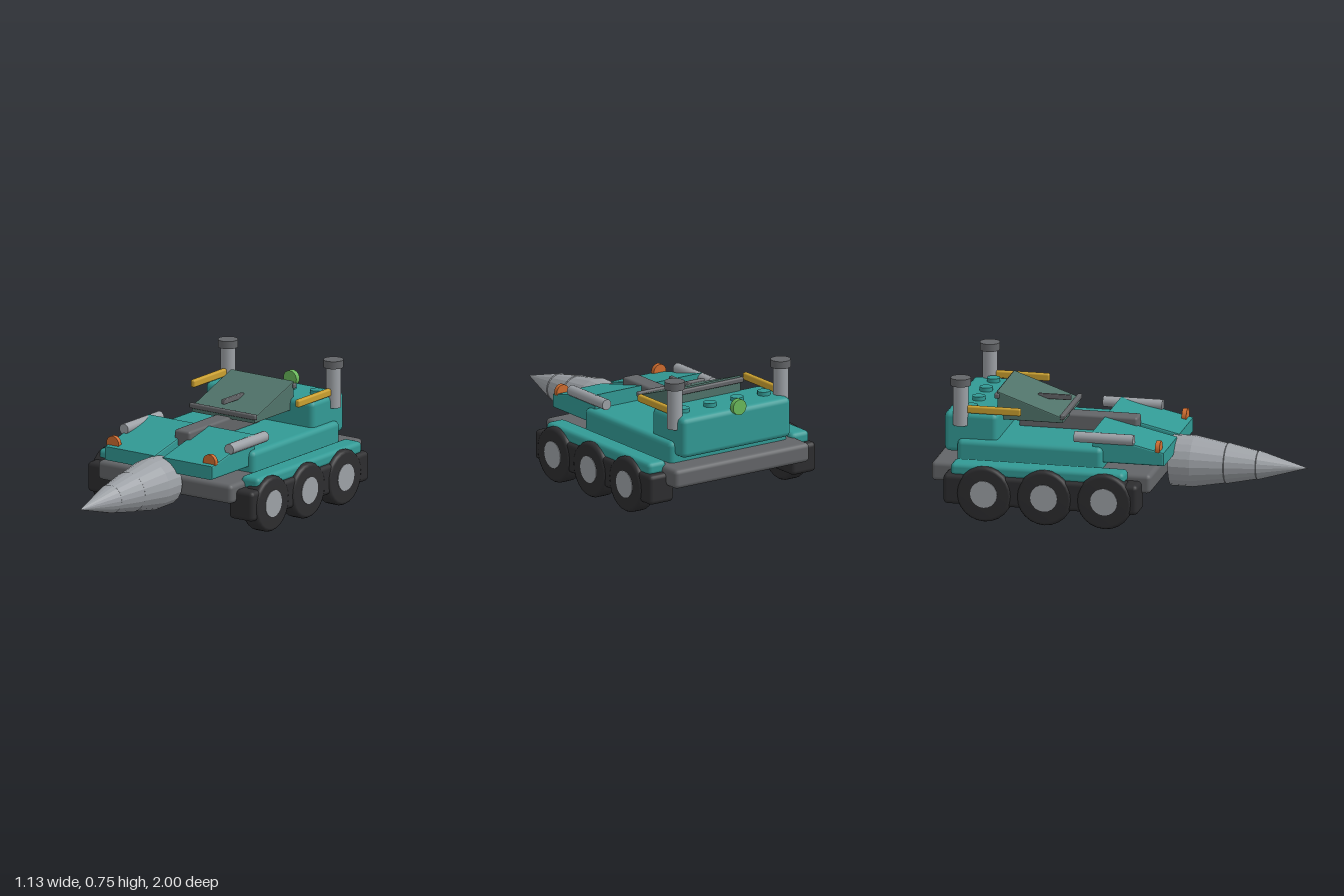
import * as THREE from 'three';
import { RoundedBoxGeometry } from 'three/addons/geometries/RoundedBoxGeometry.js';

const mat = (name, color) => {
  const m = new THREE.MeshStandardMaterial({ color });
  m.name = name;
  return m;
};

export function createModel() {
  const root = new THREE.Group();
  root.name = 'drillVehicle';
  const teal = mat('teal paint', 0x329a95);
  const dark = mat('dark grey metal', 0x636568);
  const steel = mat('light steel', 0x9da1a6);
  const rubber = mat('black rubber', 0x2d2d2f);
  const glass = mat('canopy glass', 0x50736a);
  const yellow = mat('yellow trim', 0xcaa030);
  const orange = mat('orange lamp', 0xcf6c2f);
  const green = mat('green lamp', 0x69b85a);

  const add = (name, geo, material, x = 0, y = 0, z = 0) => {
    const m = new THREE.Mesh(geo, material);
    m.name = name;
    m.position.set(x, y, z);
    root.add(m);
    return m;
  };
  // Rounded box given by its extents
  const box = (name, material, [x0, x1], [y0, y1], [z0, z1], r = 0.015) =>
    add(name, new RoundedBoxGeometry(x1 - x0, y1 - y0, z1 - z0, 2, r), material,
      (x0 + x1) / 2, (y0 + y1) / 2, (z0 + z1) / 2);
  // Box mirrored to both sides
  const pair = (name, material, [x0, x1], y, z, r) => {
    box(name + 'Left', material, [x0, x1], y, z, r);
    box(name + 'Right', material, [-x1, -x0], y, z, r);
  };
  // Cylinder lying along z
  const rod = (name, material, r, len, x, y, z, seg = 20) =>
    add(name, new THREE.CylinderGeometry(r, r, len, seg).rotateX(Math.PI / 2), material, x, y, z);
  // Side profile of [z, y] points extruded from x0 to x1
  const sideProfile = (pts, x0, x1, bevel) => {
    const shape = new THREE.Shape(pts.map(([z, y]) => new THREE.Vector2(-z, y)));
    const geo = new THREE.ExtrudeGeometry(shape, {
      depth: x1 - x0 - 2 * bevel, bevelEnabled: bevel > 0,
      bevelSize: bevel, bevelThickness: bevel, bevelOffset: -bevel, bevelSegments: 2,
    });
    return geo.translate(0, 0, x0 + bevel).rotateY(Math.PI / 2);
  };
  const faceted = (geo) => {
    const g = geo.toNonIndexed();
    g.computeVertexNormals();
    return g;
  };

  // Chassis and hull
  box('chassis', dark, [-0.45, 0.45], [0.185, 0.293], [-1, 0.225], 0.025);
  box('hull', teal, [-0.393, 0.393], [0.25, 0.41], [-0.87, -0.06], 0.03);
  box('engineHousing', teal, [-0.363, 0.363], [0.33, 0.555], [-0.947, -0.65], 0.03);
  [-0.27, -0.09, 0.09, 0.27].forEach((x) =>
    add('engineCap', new THREE.CylinderGeometry(0.036, 0.036, 0.04, 16), teal, x, 0.557, -0.815));

  // Sloping front plates with a slot between them
  const plate = [[0.278, 0.322], [0.278, 0.398], [-0.122, 0.49], [-0.122, 0.322]];
  add('frontPlateLeft', sideProfile(plate, 0.025, 0.362, 0.01), teal);
  add('frontPlateRight', sideProfile(plate, -0.362, -0.025, 0.01), teal);
  pair('plateTrim', yellow, [0.14, 0.285], [0.312, 0.328], [0.1, 0.24], 0.005);
  box('spine', dark, [-0.052, 0.052], [0.4, 0.495], [-0.6, 0.06], 0.015);

  // Canopy wedge, its frame bars and the top spike
  add('canopy', sideProfile([[-0.32, 0.485], [-0.32, 0.515], [-0.685, 0.643], [-0.685, 0.485]],
    -0.212, 0.212, 0.006), glass);
  box('canopyFrontBar', dark, [-0.223, 0.223], [0.505, 0.534], [-0.335, -0.31], 0.008);
  box('canopyRearBar', dark, [-0.223, 0.223], [0.603, 0.632], [-0.7, -0.672], 0.008);
  box('canopySpike', dark, [-0.011, 0.011], [0.558, 0.586], [-0.505, -0.32], 0.005);

  // Drill: stepped cone in four sections
  const profile = [[0, 0], [0.14, 0], [0.141, 0.12], [0.109, 0.3], [0.112, 0.305],
    [0.077, 0.472], [0.08, 0.477], [0, 0.752]].map(([r, h]) => new THREE.Vector2(r, h));
  add('drill', faceted(new THREE.LatheGeometry(profile, 20).rotateX(Math.PI / 2)),
    steel, 0, 0.258, 0.248);
  rod('drillShaft', dark, 0.045, 0.06, 0, 0.24, 0.23);

  // Running gear
  pair('trackHousing', rubber, [0.393, 0.557], [0.09, 0.258], [-0.91, 0.175], 0.025);
  pair('fender', teal, [0.417, 0.538], [0.245, 0.317], [-0.873, 0.095], 0.025);
  const tyre = [[0, -0.052], [0.135, -0.052], [0.148, -0.046], [0.155, -0.033],
    [0.155, 0.033], [0.148, 0.046], [0.135, 0.052], [0, 0.052]]
    .map(([r, h]) => new THREE.Vector2(r, h));
  const tyreGeo = new THREE.LatheGeometry(tyre, 24).rotateZ(Math.PI / 2);
  const hubGeo = new THREE.CylinderGeometry(0.075, 0.075, 0.108, 20).rotateZ(Math.PI / 2);
  for (const s of [1, -1]) {
    for (const z of [-0.01, -0.345, -0.68]) {
      add('wheelTyre', tyreGeo, rubber, s * 0.512, 0.157, z);
      add('wheelHub', hubGeo, steel, s * 0.513, 0.16, z);
    }

    // Exhaust stacks, side bars, rods and lamps
    add('exhaustStack', new THREE.CylinderGeometry(0.042, 0.042, 0.24, 16), steel, s * 0.354, 0.605, -0.855);
    add('exhaustCap', new THREE.CylinderGeometry(0.056, 0.056, 0.042, 16), dark, s * 0.354, 0.731, -0.855);
    rod('sideRod', steel, 0.03, 0.33, s * 0.353, 0.458, -0.055, 14);
    rod('frontLamp', orange, 0.041, 0.025, s * 0.324, 0.414, 0.242);
  }
  pair('yellowBar', yellow, [0.336, 0.366], [0.553, 0.595], [-0.83, -0.52], 0.01);
  rod('rearLamp', green, 0.044, 0.03, 0, 0.568, -0.954);

  return root;
}
